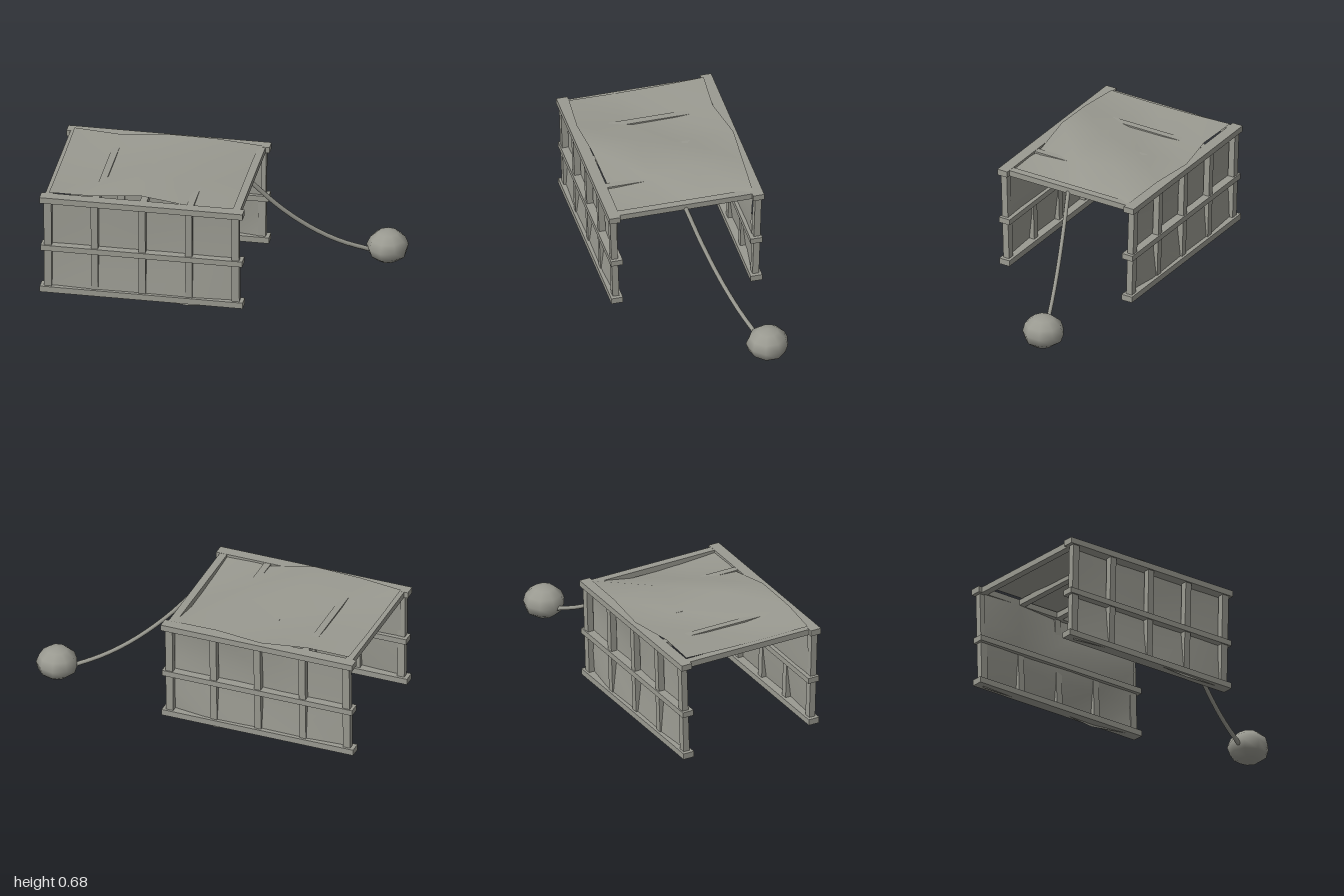
import * as THREE from 'three';

export function createModel() {
  const model = new THREE.Group();
  const frameGrey = new THREE.MeshStandardMaterial({ color: 0x9a9a91 });
  frameGrey.name = 'weathered grey';
  frameGrey.side = THREE.DoubleSide;

  const add = (name, geometry, parent = model) => {
    const mesh = new THREE.Mesh(geometry, frameGrey);
    mesh.name = name;
    parent.add(mesh);
    return mesh;
  };

  // Box given by its limits on each axis
  const beam = (name, [x0, x1], [y0, y1], [z0, z1], parent) => {
    const mesh = add(name, new THREE.BoxGeometry(x1 - x0, y1 - y0, z1 - z0), parent);
    mesh.position.set((x0 + x1) / 2, (y0 + y1) / 2, (z0 + z1) / 2);
    return mesh;
  };

  // Uneven smooth sheet: rows of points, each point placed by a rule
  const columns = [-0.955, -0.7, -0.43, -0.15, 0.13];
  const sheet = (name, rowCount, place, parent) => {
    const geometry = new THREE.PlaneGeometry(1, 1, columns.length - 1, rowCount - 1);
    const position = geometry.attributes.position;
    for (let r = 0; r < rowCount; r++) {
      columns.forEach((x, c) => position.setXYZ(r * columns.length + c, ...place(x, r, c)));
    }
    geometry.computeVertexNormals();
    return add(name, geometry, parent);
  };

  const bays = [-0.685, -0.41, -0.14];
  const ends = [-0.955, 0.13];

  // Wall sheets: distance outward for each row, from top to bottom
  const wallHeights = [0.6, 0.41, 0.21, 0.015];
  const wallDepths = {
    front: [
      [0.395, 0.388, 0.392, 0.39, 0.395],
      [0.4, 0.392, 0.394, 0.39, 0.398],
      [0.406, 0.408, 0.404, 0.41, 0.402],
      [0.418, 0.43, 0.425, 0.432, 0.415],
    ],
    back: [
      [0.4, 0.388, 0.42, 0.415, 0.4],
      [0.395, 0.39, 0.394, 0.386, 0.39],
      [0.402, 0.41, 0.4, 0.408, 0.402],
      [0.41, 0.425, 0.42, 0.43, 0.39],
    ],
  };
  const hem = [-0.005, 0.006, 0.015, -0.01, 0.008];

  for (const [side, s] of [['front', 1], ['back', -1]]) {
    const wall = new THREE.Group();
    wall.name = side + 'Wall';
    model.add(wall);

    // Three horizontal rails
    const depth = (a, b) => (s > 0 ? [a, b] : [-b, -a]);
    beam('topRail', [-1, 0.175], [0.592, 0.628], depth(0.39, 0.456), wall);
    beam('middleRail', [-0.995, 0.172], [0.286, 0.32], depth(0.376, 0.446), wall);
    beam('bottomRail', [-1, 0.174], [0.02, 0.056], depth(0.376, 0.444), wall);

    // Posts lean outward towards the top
    for (const x of [...ends, ...bays]) {
      const half = ends.includes(x) ? 0.022 : 0.02;
      const post = beam('post', [x - half, x + half], [0.025, 0.61], depth(0.4, 0.438), wall);
      post.rotation.x = s * 0.03;
    }

    // Sagging wall covering
    sheet('wallCovering', 4, (x, r, c) => [
      x,
      wallHeights[r] + (r === 3 ? hem[c] : 0),
      s * wallDepths[side][r][c],
    ], wall);
  }

  // Roof cross beams
  for (const x of ends) beam('endBeam', [x - 0.022, x + 0.022], [0.592, 0.627], [-0.42, 0.42]);
  for (const x of bays) beam('roofBeam', [x - 0.02, x + 0.02], [0.592, 0.626], [-0.4, 0.4]);

  // Warped roof covering, rows from back to front
  const roofZ = [-0.41, -0.13, 0.13, 0.41];
  const roofHeights = [
    [0.645, 0.637, 0.636, 0.645, 0.632],
    [0.635, 0.618, 0.624, 0.66, 0.582],
    [0.632, 0.616, 0.68, 0.632, 0.594],
    [0.635, 0.645, 0.665, 0.617, 0.612],
  ];
  const edgeShift = {
    0: [0.01, 0.025, -0.025, -0.005, 0.01],
    3: [-0.015, 0.005, -0.01, -0.03, 0.005],
  };
  sheet('roofCovering', 4, (x, r, c) => [
    x,
    roofHeights[r][c],
    roofZ[r] + (edgeShift[r] ? edgeShift[r][c] : 0),
  ]);

  // Drooping rod from the end beam
  const rodPath = new THREE.CatmullRomCurve3([
    new THREE.Vector3(0.145, 0.6, 0),
    new THREE.Vector3(0.3, 0.425, -0.062),
    new THREE.Vector3(0.47, 0.275, -0.13),
    new THREE.Vector3(0.63, 0.172, -0.193),
    new THREE.Vector3(0.82, 0.09, -0.268),
  ]);
  add('curvedRod', new THREE.TubeGeometry(rodPath, 14, 0.013, 6));

  // Lumpy weight at the rod's end
  const weightShape = new THREE.SphereGeometry(1, 9, 6);
  const p = weightShape.attributes.position;
  for (let i = 0; i < p.count; i++) {
    const x = p.getX(i), y = p.getY(i), z = p.getZ(i);
    const k = 1 + 0.04 * Math.sin(4 * x + 2 * y) * Math.cos(3 * z);
    p.setXYZ(i, x * k, y * k, z * k);
  }
  weightShape.scale(0.121, 0.097, 0.122);
  const weight = add('weight', weightShape);
  weight.position.set(0.879, 0.121, -0.288);

  return model;
}
